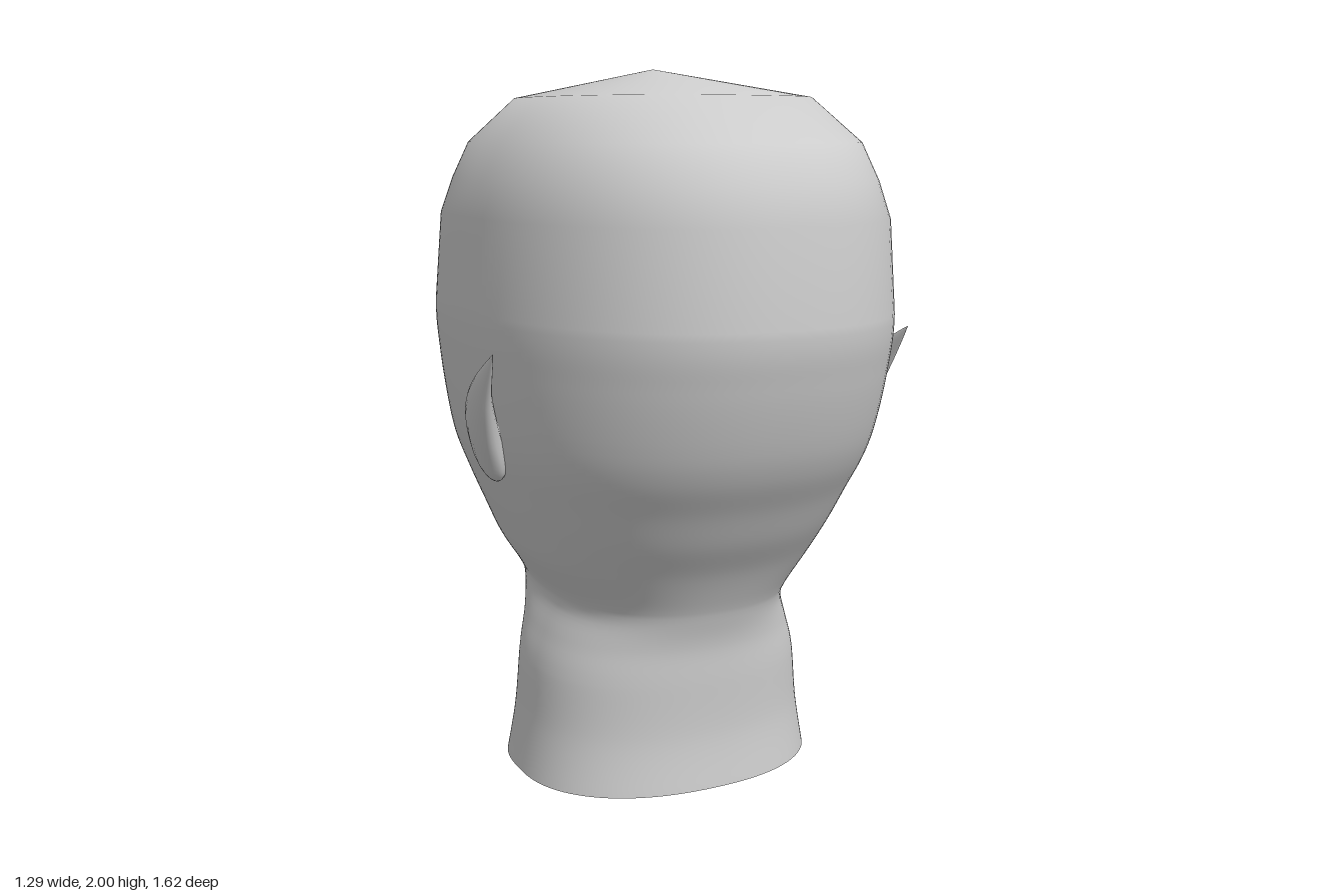
import * as THREE from 'three';

const skin = new THREE.MeshStandardMaterial({ color: 0xcccccc, side: THREE.DoubleSide });
skin.name = 'plain grey';

// Joins rows of points (each a closed loop) into one smooth surface
function gridGeometry(rows) {
  const n = rows[0].length, pos = [], index = [];
  rows.forEach((row) => row.forEach((p) => pos.push(p.x, p.y, p.z)));
  for (let i = 0; i < rows.length - 1; i++) {
    for (let j = 0; j < n; j++) {
      const k = (j + 1) % n;
      const a = i * n + j, b = i * n + k, c = a + n, d = b + n;
      index.push(a, b, d, a, d, c);
    }
  }
  const g = new THREE.BufferGeometry();
  g.setAttribute('position', new THREE.Float32BufferAttribute(pos, 3));
  g.setIndex(index);
  g.computeVertexNormals();
  return g;
}

// Elliptic sections along a curve; a and b are the section axes
function loft(points, a, b, sizeA, sizeB, shape, steps = 24, sides = 20) {
  const curve = new THREE.CatmullRomCurve3(points.map((p) => new THREE.Vector3(...p)));
  const rows = [];
  for (let i = 0; i <= steps; i++) {
    const t = i / steps, c = curve.getPoint(t), s = shape(t), row = [];
    for (let j = 0; j < sides; j++) {
      const q = (j / sides) * Math.PI * 2;
      row.push(c.clone().addScaledVector(a, sizeA * s * Math.cos(q)).addScaledVector(b, sizeB * s * Math.sin(q)));
    }
    rows.push(row);
  }
  return gridGeometry(rows);
}

// Piecewise linear lookup in [key, value] pairs
function lookup(table, k) {
  for (let i = 1; i < table.length; i++) {
    const [k0, v0] = table[i - 1], [k1, v1] = table[i];
    if (k >= k0 && k <= k1) return v0 + ((v1 - v0) * (k - k0)) / (k1 - k0);
  }
  return 0;
}

const bump = (x, y, cx, cy, rx, ry) => Math.exp(-(((x - cx) / rx) ** 2) - ((y - cy) / ry) ** 2);

// Nose projection by height
const NOSE = [[0.8, 0], [0.86, 0.09], [0.91, 0.185], [0.95, 0.155], [1.01, 0.115], [1.05, 0.085], [1.1, 0.05], [1.2, 0.01], [1.25, 0]];

// How far the face stands out at (x, y)
function faceRelief(x, y) {
  const ax = Math.abs(x);
  const noseWidth = THREE.MathUtils.clamp(0.11 - 0.2 * (y - 0.9), 0.07, 0.11);
  return lookup(NOSE, y) * Math.max(0, 1 - ax / noseWidth) ** 1.1
    + 0.045 * bump(ax, y, 0.25, 1.26, 0.15, 0.08)   // brow ridge
    - 0.08 * bump(ax, y, 0.2, 1.11, 0.09, 0.075)    // eye sockets
    + 0.06 * bump(ax, y, 0.25, 0.97, 0.13, 0.1)     // cheeks
    + 0.025 * bump(ax, y, 0, 0.76, 0.16, 0.09)      // muzzle
    + 0.018 * bump(ax, y, 0, 0.79, 0.11, 0.035)     // upper lip
    + 0.015 * bump(ax, y, 0, 0.71, 0.1, 0.035)      // lower lip
    + 0.01 * bump(ax, y, 0, 0.59, 0.12, 0.05);      // chin
}

// Head and neck rings: height, half width, back z, face z, squareness of the face side
const RINGS = [
  [0, 0.445, 0.41, -0.29, 2.8],
  [0.15, 0.42, 0.395, -0.26, 2.9],
  [0.32, 0.4, 0.4, -0.27, 2.9],
  [0.42, 0.37, 0.405, -0.37, 2.5],
  [0.5, 0.342, 0.425, -0.54, 2.15],
  [0.55, 0.355, 0.445, -0.615, 2.1],
  [0.65, 0.42, 0.5, -0.625, 2.15],
  [0.75, 0.465, 0.57, -0.625, 2.25],
  [0.85, 0.505, 0.63, -0.625, 2.4],
  [0.95, 0.54, 0.695, -0.625, 2.55],
  [1.05, 0.56, 0.74, -0.62, 2.65],
  [1.2, 0.575, 0.785, -0.625, 2.8],
  [1.35, 0.58, 0.81, -0.635, 2.85],
  [1.6, 0.565, 0.79, -0.595, 2.85],
  [1.7, 0.535, 0.755, -0.545, 2.85],
  [1.8, 0.495, 0.7, -0.48, 2.85],
  [1.92, 0.385, 0.525, -0.3, 2.8],
  [2, 0, 0.02, 0.02, 2.8],
];

// Smooth step from ring i to the next one
function between(i, t) {
  const [p, a, b, q] = [i - 1, i, i + 1, i + 2].map((k) => RINGS[Math.max(0, k)]);
  return a.map((v, m) => v + 0.5 * t * (b[m] - p[m]
    + t * (2 * p[m] - 5 * v + 4 * b[m] - q[m] + t * (3 * (v - b[m]) + q[m] - p[m]))));
}

function headGeometry() {
  const sides = 160, rows = [];
  const addRow = ([y, w, back, front, n]) => {
    const row = [], cz = Math.min(0.06, back);
    for (let j = 0; j < sides; j++) {
      // points crowd together around the face, at -z
      const u = (j / sides) * Math.PI * 2, q = u + 0.4 * Math.sin(u);
      const s = Math.sin(q), c = Math.cos(q), e = c < 0 ? n : 2.27;
      const r = (Math.abs(s) ** e + Math.abs(c) ** e) ** (-1 / e);
      const x = w * r * s;
      let z = cz + (c > 0 ? back - cz : cz - front) * r * c;
      if (c < 0 && y > 0.5 && y < 1.5) z -= faceRelief(x, y) * Math.min(1, -c * 2);
      row.push(new THREE.Vector3(x, y, z));
    }
    rows.push(row);
  };
  RINGS.forEach((ring, i) => {
    // fine rows up to the brow, broad bands over the skull
    const steps = ring[0] < 1.35 ? Math.round((RINGS[i + 1][0] - ring[0]) / 0.017) : 1;
    addRow(ring);
    for (let k = 1; k < steps; k++) addRow(between(i, k / steps));
  });
  return gridGeometry(rows);
}

export function createModel() {
  const model = new THREE.Group();
  model.name = 'head';
  const add = (name, geometry) => {
    const mesh = new THREE.Mesh(geometry, skin);
    mesh.name = name;
    model.add(mesh);
    return mesh;
  };

  add('headAndNeck', headGeometry());

  // Pointed ear, swept up and back
  const ear = loft(
    [[0.535, 0.91, 0.105], [0.555, 0.98, 0.13], [0.593, 1.075, 0.19], [0.622, 1.17, 0.275], [0.634, 1.28, 0.392]],
    new THREE.Vector3(0, -0.58, 0.81), new THREE.Vector3(1, 0, 0), 0.095, 0.045,
    (t) => Math.max(0, Math.sin(Math.PI * t ** 0.6)) ** 0.9);

  // Arched brow, tapering at both ends
  const brow = loft(
    [[0.05, 1.25, -0.65], [0.11, 1.275, -0.67], [0.2, 1.285, -0.665], [0.27, 1.265, -0.65], [0.33, 1.215, -0.605]],
    new THREE.Vector3(0, 1, 0), new THREE.Vector3(0, 0, 1), 0.034, 0.028,
    (t) => Math.max(0, Math.sin(Math.PI * t)) ** 0.6);

  const eye = new THREE.SphereGeometry(0.027, 16, 12);

  for (const [side, sign] of [['left', 1], ['right', -1]]) {
    add(side + 'Ear', ear).scale.x = sign;
    add(side + 'Brow', brow).scale.x = sign;
    add(side + 'Eye', eye).position.set(sign * 0.228, 1.11, -0.545);
  }
  return model;
}
